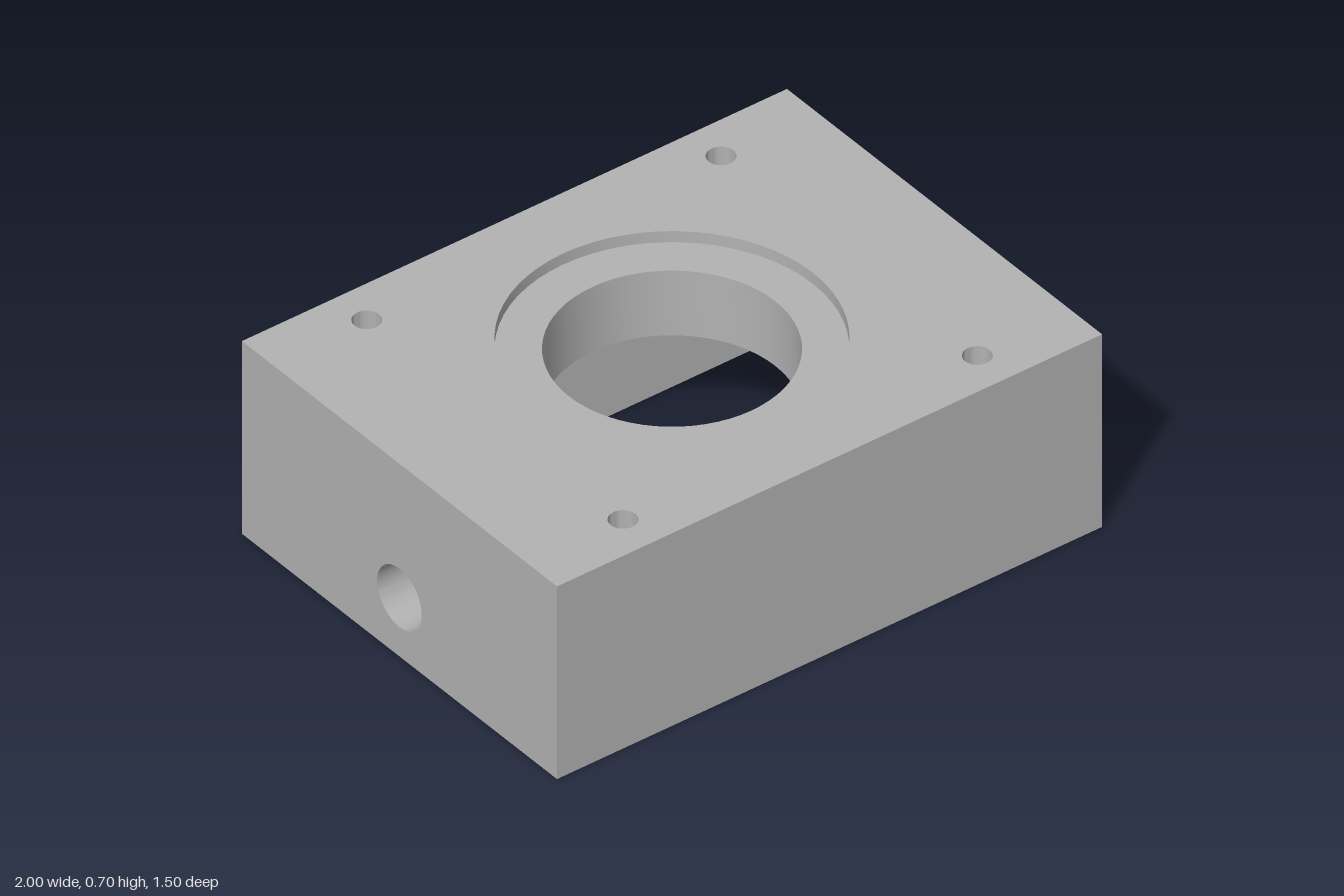
import * as THREE from 'three';
import { toCreasedNormals } from 'three/addons/utils/BufferGeometryUtils.js';

const W = 2, H = 0.7, D = 1.5;             // outer block
const CW = 1.6, CH = 0.425, CD = 1.1;      // cavity open at the bottom
const BORE = 0.378, RECESS = 0.516, RECESS_Y = 0.66;
const SCREW = 0.045, SCREW_DEPTH = 0.3;
const PORT = 0.106, PORT_Y = 0.2125;

export function createModel() {
  const model = new THREE.Group();
  model.name = 'housingBlock';
  const metal = new THREE.MeshStandardMaterial({ color: 0xb2b2b2 });
  metal.name = 'grey metal';

  function add(name, geometry, pos, rot = [0, 0, 0]) {
    const mesh = new THREE.Mesh(geometry, metal);
    mesh.name = name;
    mesh.position.set(...pos);
    mesh.rotation.set(...rot);
    model.add(mesh);
  }

  const rectPoints = (w, h) => [[-1, -1], [1, -1], [1, 1], [-1, 1]]
    .map(([x, y]) => new THREE.Vector2(x * w / 2, y * h / 2));
  const circle = (x, y, r) => new THREE.Path().absarc(x, y, r, 0, Math.PI * 2, true);

  // Flat face with cut-outs, facing +z before rotation
  function face(name, w, h, pos, rot, holes = []) {
    const shape = new THREE.Shape(rectPoints(w, h));
    shape.holes.push(...holes);
    add(name, new THREE.ShapeGeometry(shape, 32), pos, rot);
  }

  // Inward-facing hole wall, profile listed from the mouth inwards
  function bore(name, profile, pos, rot) {
    const points = profile.map(([r, y]) => new THREE.Vector2(r, y));
    add(name, toCreasedNormals(new THREE.LatheGeometry(points, 64), 0.6), pos, rot);
  }

  const corners = (x, z) => [[x, z], [-x, z], [x, -z], [-x, -z]];
  const topScrews = corners(0.65, 0.61), bottomScrews = corners(0.9, 0.65);
  const screwCuts = list => list.map(([x, z]) => circle(x, z, SCREW));
  const up = [-Math.PI / 2, 0, 0], down = [Math.PI / 2, 0, 0];
  const toLeft = [0, Math.PI / 2, 0], toRight = [0, -Math.PI / 2, 0], toBack = [0, Math.PI, 0];

  // Outer faces
  face('topFace', W, D, [0, H, 0], up, [circle(0, 0, RECESS), ...screwCuts(topScrews)]);
  face('bottomRim', W, D, [0, 0, 0], down,
    [new THREE.Path(rectPoints(CW, CD).reverse()), ...screwCuts(bottomScrews)]);
  face('frontFace', W, H, [0, H / 2, D / 2]);
  face('backFace', W, H, [0, H / 2, -D / 2], toBack);
  face('leftFace', D, H, [W / 2, H / 2, 0], toLeft);
  face('rightFace', D, H, [-W / 2, H / 2, 0], toRight, [circle(0, PORT_Y - H / 2, PORT)]);

  // Cavity, facing inwards
  face('cavityCeiling', CW, CD, [0, CH, 0], down, [circle(0, 0, BORE)]);
  face('cavityFrontWall', CW, CH, [0, CH / 2, CD / 2], toBack);
  face('cavityBackWall', CW, CH, [0, CH / 2, -CD / 2]);
  face('cavityLeftWall', CD, CH, [CW / 2, CH / 2, 0], toRight);
  face('cavityRightWall', CD, CH, [-CW / 2, CH / 2, 0], toLeft, [circle(0, PORT_Y - CH / 2, PORT)]);

  // Stepped central bore and side port
  bore('centralBore', [[RECESS, H], [RECESS, RECESS_Y], [BORE, RECESS_Y], [BORE, CH]], [0, 0, 0]);
  bore('sidePort', [[PORT, 0], [PORT, -(W - CW) / 2]], [-W / 2, PORT_Y, 0], [0, 0, Math.PI / 2]);

  // Blind screw holes
  const blind = [[SCREW, 0], [SCREW, -SCREW_DEPTH], [0, -SCREW_DEPTH]];
  for (const [x, z] of topScrews) bore('topScrewHole', blind, [x, H, z]);
  for (const [x, z] of bottomScrews) bore('bottomScrewHole', blind, [x, 0, z], [Math.PI, 0, 0]);

  return model;
}
